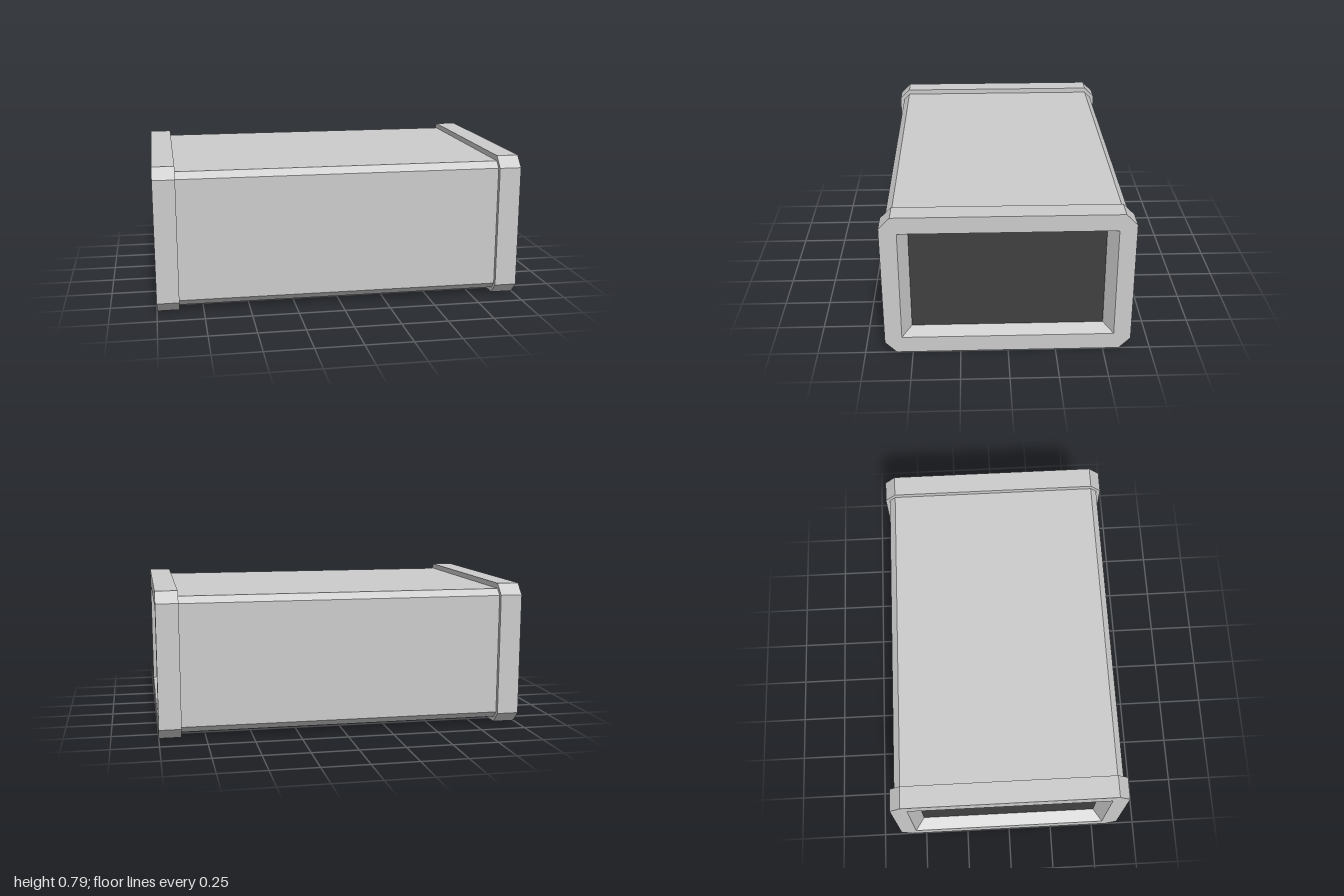
import * as THREE from 'three';

const MID_Y = 0.395;
const grey = new THREE.MeshStandardMaterial({ color: 0xcccccc, flatShading: true });
const dark = new THREE.MeshStandardMaterial({ color: 0x404040, flatShading: true });

// Chamfered rectangle at a given x, counter-clockwise as seen from +x
function section(x, halfZ, halfY, chamfer) {
  const a = halfZ - chamfer, b = halfY - chamfer;
  return [
    [halfZ, -b], [halfZ, b], [a, halfY], [-a, halfY],
    [-halfZ, b], [-halfZ, -b], [-a, -halfY], [a, -halfY],
  ].map(([u, y]) => new THREE.Vector3(x, y, -u));
}

// Skin between successive sections, dropping the empty faces at square corners
function loft(sections) {
  const points = [];
  const addTriangle = (a, b, c) => {
    if (new THREE.Triangle(a, b, c).getArea() > 1e-7) points.push(a, b, c);
  };
  for (let i = 0; i < sections.length - 1; i++) {
    const p = sections[i], q = sections[i + 1];
    for (let j = 0; j < p.length; j++) {
      const k = (j + 1) % p.length;
      addTriangle(p[j], p[k], q[k]);
      addTriangle(p[j], q[k], q[j]);
    }
  }
  const geometry = new THREE.BufferGeometry().setFromPoints(points);
  geometry.computeVertexNormals();
  return geometry;
}

function addMesh(parent, name, geometry, material) {
  const mesh = new THREE.Mesh(geometry, material);
  mesh.name = name;
  parent.add(mesh);
  return mesh;
}

// End collar with a bevelled opening, closed by a dark recessed panel
function createEnd(name) {
  const end = new THREE.Group();
  end.name = name;
  addMesh(end, 'collar', loft([
    section(0.88, 0.622, 0.366, 0.035),
    section(0.88, 0.646, 0.395, 0.06),
    section(1, 0.646, 0.395, 0.06),
    section(1, 0.556, 0.305, 0),
    section(0.93, 0.505, 0.275, 0),
  ]), grey);
  const panel = addMesh(end, 'recessedPanel', new THREE.PlaneGeometry(1.01, 0.55), dark);
  panel.rotation.y = Math.PI / 2;
  panel.position.x = 0.93;
  return end;
}

export function createModel() {
  const model = new THREE.Group();
  model.name = 'corridorSection';
  const shell = new THREE.Group();
  shell.name = 'shell';
  shell.position.y = MID_Y;
  model.add(shell);

  // Long body with chamfered edges
  addMesh(shell, 'body', loft([
    section(-0.88, 0.622, 0.366, 0.035),
    section(0.88, 0.622, 0.366, 0.035),
  ]), grey);

  // Matching ends
  const leftEnd = createEnd('leftEnd');
  const rightEnd = createEnd('rightEnd');
  rightEnd.rotation.y = Math.PI;
  shell.add(leftEnd, rightEnd);
  return model;
}
